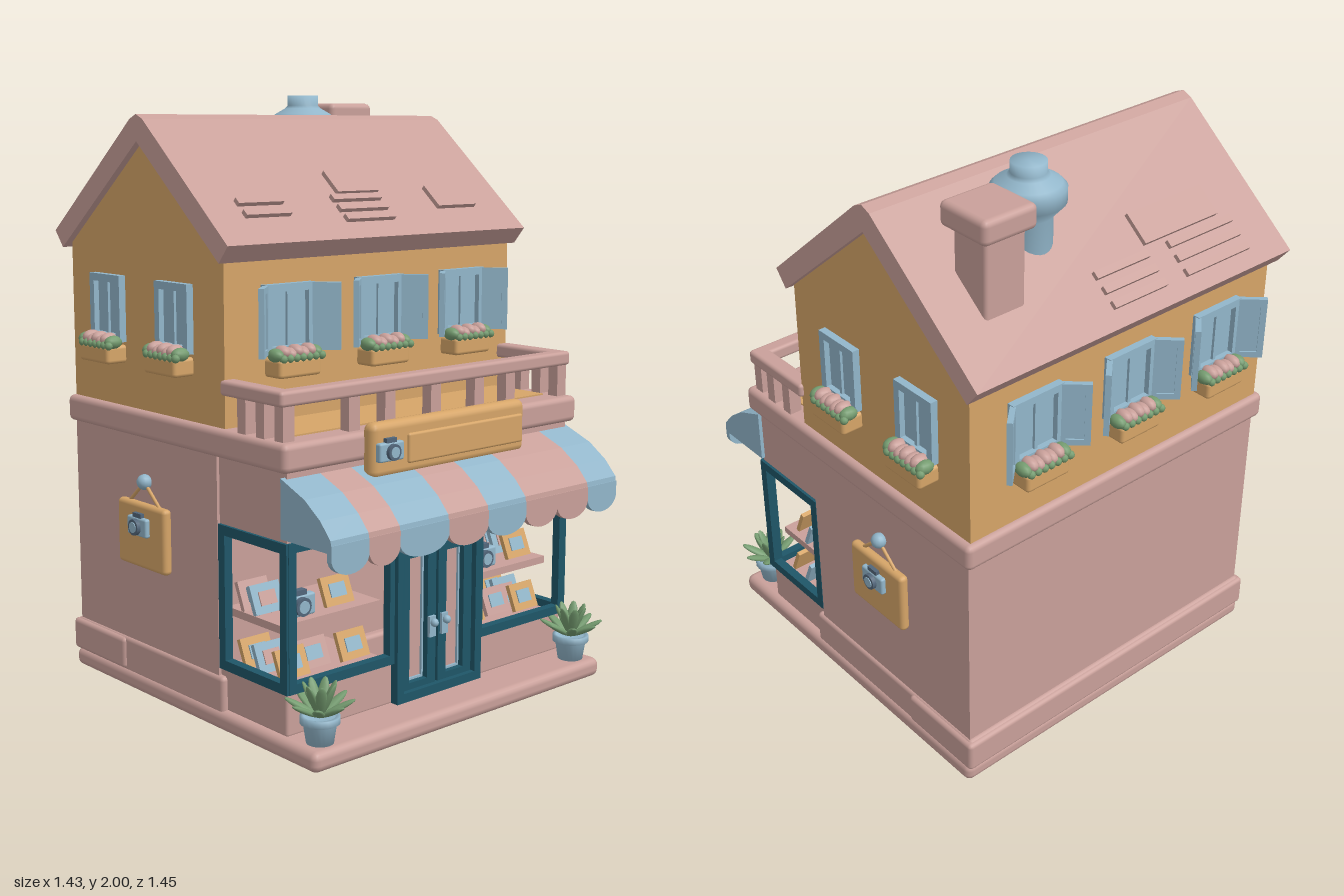
import * as THREE from 'three';
import { RoundedBoxGeometry } from 'three/addons/geometries/RoundedBoxGeometry.js';

const mat = (name, color) => Object.assign(new THREE.MeshStandardMaterial({ color }), { name });

export function createModel() {
  const pink = mat('dusty pink', 0xc9a09a), ochre = mat('ochre', 0xd6a568), blue = mat('pale blue', 0x92b6ca);
  const teal = mat('dark teal', 0x1f5668), green = mat('leaf green', 0x759c70), slate = mat('slate', 0x52667a);
  const model = new THREE.Group();
  model.name = 'shopHouse';

  const add = (parent, name, geo, m, x = 0, y = 0, z = 0) => {
    const mesh = new THREE.Mesh(geo, m);
    mesh.name = name;
    mesh.position.set(x, y, z);
    parent.add(mesh);
    return mesh;
  };
  const group = (parent, name, x, y, z, ry = 0) => {
    const g = new THREE.Group();
    g.name = name;
    g.position.set(x, y, z);
    g.rotation.y = ry;
    parent.add(g);
    return g;
  };
  // box given by its lower and upper limits; r rounds the edges
  const span = (parent, name, m, x0, x1, y0, y1, z0, z1, r = 0) => {
    const s = [x1 - x0, y1 - y0, z1 - z0];
    const geo = r ? new RoundedBoxGeometry(...s, 2, r) : new THREE.BoxGeometry(...s);
    return add(parent, name, geo, m, (x0 + x1) / 2, (y0 + y1) / 2, (z0 + z1) / 2);
  };
  // extrude a [z, y] outline along x
  const extrudeX = (points, width) => {
    const shape = new THREE.Shape(points.map(p => new THREE.Vector2(...p)));
    const geo = new THREE.ExtrudeGeometry(shape, { depth: width, bevelEnabled: false });
    return geo.translate(0, 0, -width / 2).rotateY(-Math.PI / 2);
  };
  // rectangular frame centred on the origin, facing +z
  const frame = (parent, name, m, w, h, t, d) => {
    const shape = new THREE.Shape([[-w, -h], [w, -h], [w, h], [-w, h]].map(([a, b]) => new THREE.Vector2(a / 2, b / 2)));
    const u = w / 2 - t, v = h / 2 - t;
    shape.holes.push(new THREE.Path([[-u, -v], [-u, v], [u, v], [u, -v]].map(p => new THREE.Vector2(...p))));
    return add(parent, name, new THREE.ExtrudeGeometry(shape, { depth: d, bevelEnabled: false }), m);
  };
  const camera = (parent, x, y, z, s = 1) => {
    const g = group(parent, 'toyCamera', x, y, z);
    g.scale.setScalar(s);
    span(g, 'cameraBody', blue, -0.06, 0.06, -0.035, 0.035, -0.015, 0.015, 0.008);
    span(g, 'cameraTop', slate, -0.025, 0.025, 0.03, 0.05, -0.012, 0.012);
    for (const [r, d, m] of [[0.03, 0.03, slate], [0.02, 0.036, blue]])
      add(g, 'cameraLens', new THREE.CylinderGeometry(r, r, d, 20).rotateX(Math.PI / 2), m, 0, 0, 0.015);
  };

  // base, plinth and ground floor
  span(model, 'baseSlab', pink, -0.655, 0.655, 0, 0.065, -0.65, 0.66, 0.025);
  span(model, 'plinth', pink, -0.645, 0.645, 0.05, 0.175, -0.65, 0.2, 0.015);
  span(model, 'rearPlinth', pink, -0.655, 0.655, 0.06, 0.17, -0.66, -0.34, 0.015);
  span(model, 'groundFloor', pink, -0.635, 0.635, 0.06, 0.9, -0.635, 0.17);
  span(model, 'shopCeiling', pink, -0.625, 0.625, 0.66, 0.9, 0.16, 0.5);
  for (const s of [-1, 1]) {
    const sill = (n, a, b, ...rest) => span(model, n, pink, Math.min(s * a, s * b), Math.max(s * a, s * b), ...rest);
    sill('windowSill', 0.18, 0.625, 0.06, 0.205, 0.16, 0.495, 0.01);
    sill('displayShelf', 0.19, 0.6, 0.37, 0.395, 0.17, 0.44);
    // shop window frames
    const front = group(model, 'frontWindow', s * 0.405, 0.435, 0.48);
    frame(front, 'frontWindowFrame', teal, 0.445, 0.47, 0.03, 0.03);
    const side = group(model, 'sideWindow', s * 0.605, 0.435, 0.34, s * Math.PI / 2);
    frame(side, 'sideWindowFrame', teal, 0.335, 0.47, 0.032, 0.03);
    // leaning display pictures
    const pictures = [[0.27, 0.21, 0.41, ochre], [0.42, 0.21, 0.39, pink], [0.53, 0.21, 0.42, ochre], [0.52, 0.395, 0.39, ochre],
      [0.54, 0.395, 0.31, blue], [0.54, 0.395, 0.25, pink], [0.54, 0.21, 0.33, blue], [0.54, 0.21, 0.26, ochre]];
    for (const [x, y, z, m] of pictures) {
      const px = s < 0 && y > 0.3 && z > 0.35 ? -0.32 : s * x;
      const p = group(model, 'displayPicture', px, y, z);
      p.rotation.x = -0.4;
      span(p, 'pictureBoard', m, -0.058, 0.058, 0, 0.095, -0.008, 0.008);
      span(p, 'pictureFace', m === blue ? pink : blue, -0.032, 0.032, 0.025, 0.07, 0.008, 0.012);
    }
    camera(model, s < 0 ? -0.5 : 0.32, 0.432, 0.4);
  }

  // double door
  const door = group(model, 'shopDoor', 0, 0, 0.475);
  span(door, 'doorBacking', pink, -0.18, 0.18, 0.06, 0.66, -0.03, 0.004);
  const surround = frame(door, 'doorSurround', teal, 0.385, 0.6, 0.03, 0.05);
  surround.position.y = 0.365;
  span(door, 'transomBar', teal, -0.17, 0.17, 0.56, 0.59, 0, 0.045);
  span(door, 'threshold', teal, -0.17, 0.17, 0.06, 0.085, 0, 0.04);
  span(door, 'transomPane', teal, -0.17, 0.17, 0.59, 0.65, 0, 0.01);
  for (const s of [-1, 1]) {
    const leaf = group(door, 'doorLeaf', s * 0.083, 0.325, 0);
    frame(leaf, 'doorLeafFrame', teal, 0.155, 0.49, 0.037, 0.032);
    frame(leaf, 'doorGlassTrim', blue, 0.085, 0.42, 0.009, 0.012);
    span(leaf, 'handlePlate', blue, -s * 0.055 - 0.014, -s * 0.055 + 0.014, -0.07, 0, 0.03, 0.042);
    add(leaf, 'doorKnob', new THREE.SphereGeometry(0.014, 12, 8), blue, -s * 0.055, -0.02, 0.05);
  }

  // striped awning with scalloped hem
  const awning = group(model, 'awning', 0, 0, 0);
  const slope = [[0.49, 0.685], [0.7, 0.685], [0.72, 0.69], [0.715, 0.725], [0.67, 0.775], [0.6, 0.825], [0.49, 0.87]];
  const stripes = [-0.642, -0.495, -0.37, -0.165, 0.01, 0.185, 0.49, 0.638];
  for (let i = 0; i < 7; i++) {
    const a = stripes[i], b = stripes[i + 1], m = i % 2 ? pink : blue;
    add(awning, 'awningStripe', extrudeX(slope, b - a), m, (a + b) / 2);
    const n = Math.max(1, Math.round((b - a) / 0.15)), w = (b - a) / n;
    for (let k = 0; k < n; k++) {
      const flap = new THREE.Shape();
      flap.moveTo(w / 2, 0.02).lineTo(-w / 2, 0.02).lineTo(-w / 2, -0.03);
      flap.bezierCurveTo(-w * 0.4, -0.09, w * 0.4, -0.09, w / 2, -0.03);
      add(awning, 'awningScallop', new THREE.ExtrudeGeometry(flap, { depth: 0.02, bevelEnabled: false }), m, a + w * (k + 0.5), 0.69, 0.7);
    }
  }

  // balcony ledge, floor and railing
  span(model, 'balconyLedge', pink, -0.655, 0.655, 0.885, 0.975, -0.66, 0.525, 0.02);
  span(model, 'balconyFloor', ochre, -0.575, 0.575, 0.972, 0.98, 0.2, 0.44);
  span(model, 'frontRail', pink, -0.645, 0.645, 1.08, 1.128, 0.445, 0.5, 0.012);
  const post = (x, z) => span(model, 'railPost', pink, x - 0.022, x + 0.022, 0.97, 1.09, z - 0.02, z + 0.02);
  for (const x of [-0.61, -0.35, -0.2, 0, 0.2, 0.35, 0.61]) post(x, 0.472);
  for (const s of [-1, 1]) {
    span(model, 'sideRail', pink, s * 0.615 - 0.03, s * 0.615 + 0.03, 1.08, 1.128, 0.2, 0.49, 0.012);
    for (const z of [0.39, 0.3]) post(s * 0.615, z);
  }

  // front sign board
  span(model, 'signBoard', ochre, -0.345, 0.34, 0.83, 1.005, 0.515, 0.57, 0.025);
  span(model, 'signPanel', ochre, -0.2, 0.32, 0.865, 0.96, 0.56, 0.578, 0.008);
  camera(model, -0.28, 0.915, 0.575, 0.85);

  // upper floor with gables
  const gable = [[0.21, 0.96], [0.21, 1.52], [-0.205, 1.87], [-0.64, 1.52], [-0.64, 0.96]].reverse();
  add(model, 'upperFloor', extrudeX(gable, 1.26), ochre);
  const roof = [[0.22, 1.485], [0.265, 1.54], [-0.17, 1.915], [-0.205, 1.93], [-0.24, 1.915], [-0.705, 1.54], [-0.66, 1.485], [-0.205, 1.845]];
  add(model, 'roof', extrudeX(roof, 1.31), pink);

  // raised roof tiles: x from, x to, z centre, depth
  const tiles = [[-0.09, 0.09, 0.075, 0.1], [0.31, 0.49, 0.14, 0.1], [-0.52, -0.34, 0.13, 0.025], [-0.52, -0.34, 0.17, 0.025],
    [-0.13, 0.08, 0.13, 0.025], [-0.13, 0.08, 0.165, 0.025], [-0.13, 0.08, 0.2, 0.025], [-0.46, -0.14, -0.505, 0.11]];
  for (const z of [-0.65, -0.61, -0.57]) tiles.push([-0.5, -0.22, z, 0.025], [-0.13, 0.09, z, 0.025]);
  for (const [a, b, z, d] of tiles) {
    const front = z > -0.2, y = front ? 1.54 + (0.265 - z) * 0.862 : 1.54 + (z + 0.705) * 0.806;
    const tile = add(model, 'roofTile', new THREE.BoxGeometry(b - a, 0.03, d), pink, (a + b) / 2, y, z);
    tile.rotation.x = front ? 0.711 : -0.678;
  }

  // chimney and vent
  span(model, 'chimney', pink, 0.355, 0.505, 1.58, 1.91, -0.565, -0.425, 0.012);
  span(model, 'chimneyCap', pink, 0.33, 0.53, 1.895, 1.975, -0.59, -0.39, 0.02);
  const vent = [[0.075, 1.62], [0.075, 1.83], [0.115, 1.875], [0.115, 1.92], [0.1, 1.935], [0.065, 1.955], [0.055, 1.965], [0.055, 2], [0, 2]];
  add(model, 'roofVent', new THREE.LatheGeometry(vent.map(p => new THREE.Vector2(...p)), 28), blue, 0.2, 0, -0.4);

  // upper windows with flower boxes
  const upperWindow = (x, z, ry, w, shutters) => {
    const g = group(model, 'upperWindow', x, 1.3, z, ry);
    frame(g, 'windowFrame', blue, w, 0.22, 0.025, 0.025);
    span(g, 'windowPane', blue, -w / 2 + 0.01, w / 2 - 0.01, -0.1, 0.1, 0, 0.006);
    span(g, 'mullion', blue, -0.006, 0.006, -0.1, 0.1, 0, 0.015);
    if (shutters) for (const s of [-1, 1]) {
      const leaf = group(g, 'shutter', s * w / 2, 0, 0.01, -s * 0.75);
      const panel = frame(leaf, 'shutterFrame', blue, 0.095, 0.215, 0.02, 0.018);
      panel.position.x = s * 0.045;
      span(leaf, 'shutterPanel', blue, s * 0.045 - 0.03, s * 0.045 + 0.03, -0.095, 0.095, 0.005, 0.012);
    }
    span(g, 'flowerBox', ochre, -0.085, 0.085, -0.18, -0.12, -0.01, 0.075, 0.012);
    for (let i = 0; i < 7; i++) {
      const edge = i === 0 || i === 6, bx = (i - 3) * 0.026;
      const bloom = add(g, edge ? 'leaves' : 'flowers', new THREE.SphereGeometry(0.022, 10, 8), edge ? green : pink, bx, -0.108 + (i % 2) * 0.008, 0.045);
      bloom.scale.z = 1.5;
      add(g, 'leaves', new THREE.SphereGeometry(0.014, 8, 6), green, bx + 0.01, -0.118, 0.07);
    }
  };
  for (const x of [-0.387, 0, 0.387]) {
    upperWindow(x, 0.21, 0, 0.2, true);
    upperWindow(x, -0.64, Math.PI, 0.2, true);
  }
  for (const s of [-1, 1]) for (const z of [-0.035, -0.41]) upperWindow(s * 0.63, z, s * Math.PI / 2, 0.175, false);

  for (const s of [-1, 1]) {
    // hanging side sign
    const sign = group(model, 'hangingSign', s * 0.635, 0.56, -0.205, s * Math.PI / 2);
    span(sign, 'hangingBoard', ochre, -0.135, 0.135, -0.11, 0.11, 0, 0.035, 0.015);
    camera(sign, 0, 0.035, 0.038, 0.9);
    add(sign, 'hangerKnob', new THREE.SphereGeometry(0.026, 14, 10), blue, 0, 0.18, 0.015);
    for (const t of [-1, 1]) {
      const rope = add(sign, 'hangerRope', new THREE.CylinderGeometry(0.006, 0.006, 0.12, 8), ochre, t * 0.045, 0.14, 0.015);
      rope.rotation.z = t * 0.85;
    }
    // potted plant
    const plant = group(model, 'pottedPlant', s * 0.575, 0.06, 0.59);
    const pot = [[0, 0], [0.042, 0], [0.052, 0.065], [0.062, 0.068], [0.062, 0.09], [0.05, 0.09], [0.046, 0.08], [0, 0.08]];
    add(plant, 'plantPot', new THREE.LatheGeometry(pot.map(p => new THREE.Vector2(...p)), 20), blue);
    for (let i = 0; i < 15; i++) {
      const ring = i < 8 ? 0 : 1, holder = group(plant, 'leafHolder', 0, 0.085, 0, ring * 0.3 + i * Math.PI / (ring ? 3.5 : 4));
      const geo = new THREE.SphereGeometry(1, 8, 8).scale(0.019, 0.062, 0.009).translate(0, 0.06, 0);
      const leaf = add(holder, 'plantLeaf', geo, green);
      leaf.rotation.x = ring ? 0.45 : 1.08;
    }
  }
  return model;
}
